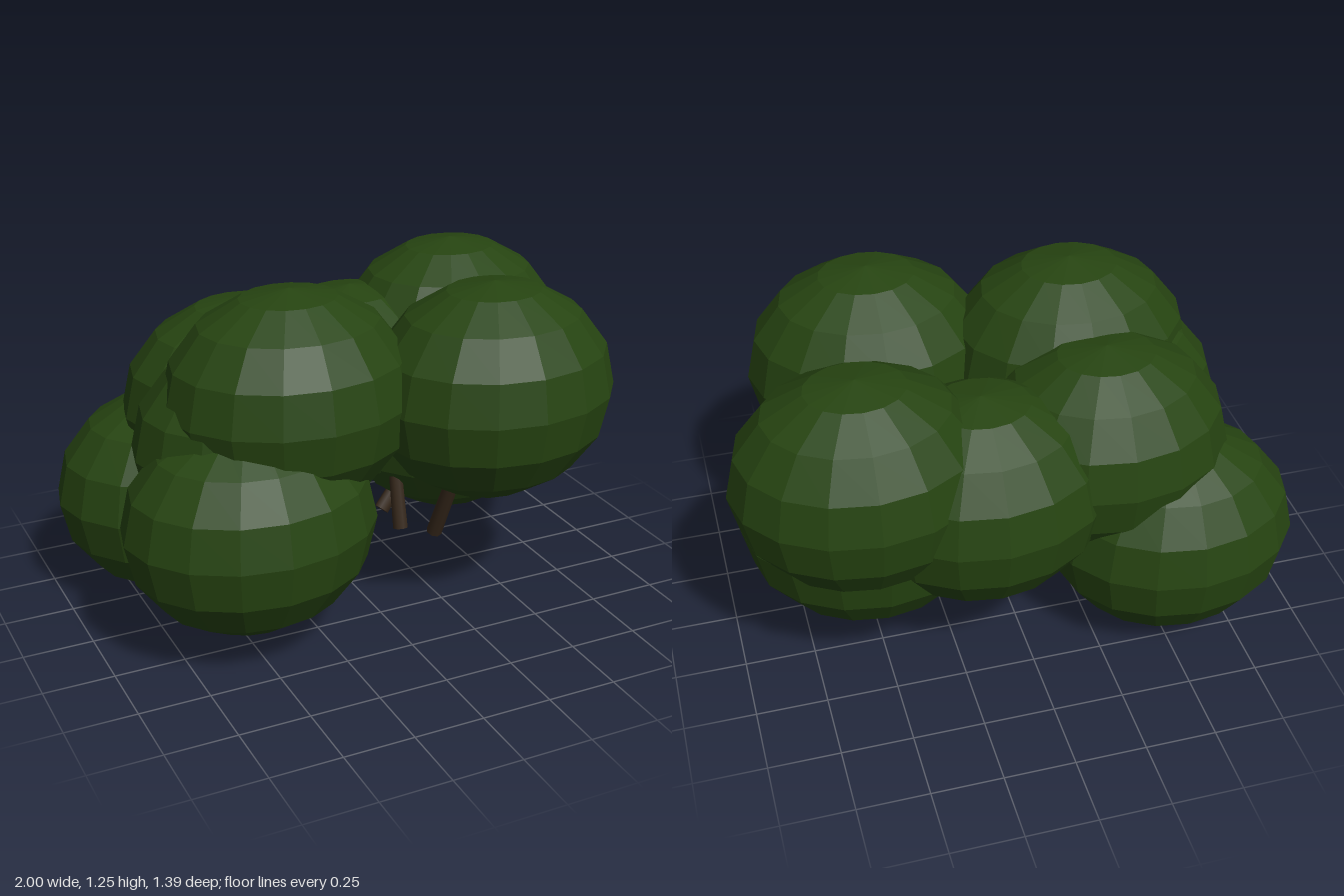
import * as THREE from 'three';

export function createModel() {
  const model = new THREE.Group();
  model.name = 'bush';

  const leafGreen = new THREE.MeshStandardMaterial({ color: 0x264411, flatShading: true });
  leafGreen.name = 'leaf green';
  const barkBrown = new THREE.MeshStandardMaterial({ color: 0x35271a });
  barkBrown.name = 'bark brown';

  // Foliage: equal faceted ellipsoids, wider than they are high
  const foliage = new THREE.Group();
  foliage.name = 'foliage';
  const clumpShape = new THREE.SphereGeometry(1, 16, 8).scale(0.445, 0.387, 0.375);
  const clumps = {
    frontLeftClump: [0.385, 0.845, 0.32],
    frontRightClump: [-0.305, 0.868, 0.16],
    backLeftClump: [0.55, 0.813, -0.3],
    backRightClump: [-0.325, 0.73, -0.21],
    lowBackRightClump: [-0.555, 0.392, -0.32],
    lowFrontRightClump: [-0.495, 0.477, 0.245],
    lowLeftClump: [0.51, 0.567, -0.185],
    backMiddleClump: [0.14, 0.68, -0.312],
    innerRightClump: [-0.392, 0.7, 0.09],
  };
  for (const [name, position] of Object.entries(clumps)) {
    const clump = new THREE.Mesh(clumpShape, leafGreen);
    clump.name = name;
    clump.position.set(...position);
    foliage.add(clump);
  }
  model.add(foliage);

  // Stems: thin rods leaning from the base out into the clumps
  const stems = new THREE.Group();
  stems.name = 'stems';
  const up = new THREE.Vector3(0, 1, 0);
  const addStem = (from, to) => {
    const a = new THREE.Vector3(...from);
    const b = new THREE.Vector3(...to);
    const span = b.clone().sub(a);
    const stem = new THREE.Mesh(new THREE.CylinderGeometry(0.023, 0.029, span.length(), 8), barkBrown);
    stem.name = 'stem';
    stem.position.copy(a).add(b).multiplyScalar(0.5);
    stem.quaternion.setFromUnitVectors(up, span.normalize());
    stems.add(stem);
  };
  addStem([0.295, 0.2, 0.1], [0.34, 0.72, 0.3]);
  addStem([0.195, 0.2, 0.02], [0.2, 0.6, -0.08]);
  addStem([0.01, 0.2, 0.04], [-0.18, 0.62, 0.12]);
  addStem([-0.06, 0.2, 0.07], [-0.36, 0.4, 0.18]);
  addStem([0.02, 0.21, -0.03], [-0.22, 0.6, -0.16]);
  addStem([-0.06, 0.21, -0.12], [-0.4, 0.38, -0.25]);
  addStem([0.2, 0.2, -0.15], [0.42, 0.45, -0.2]);
  model.add(stems);

  return model;
}
